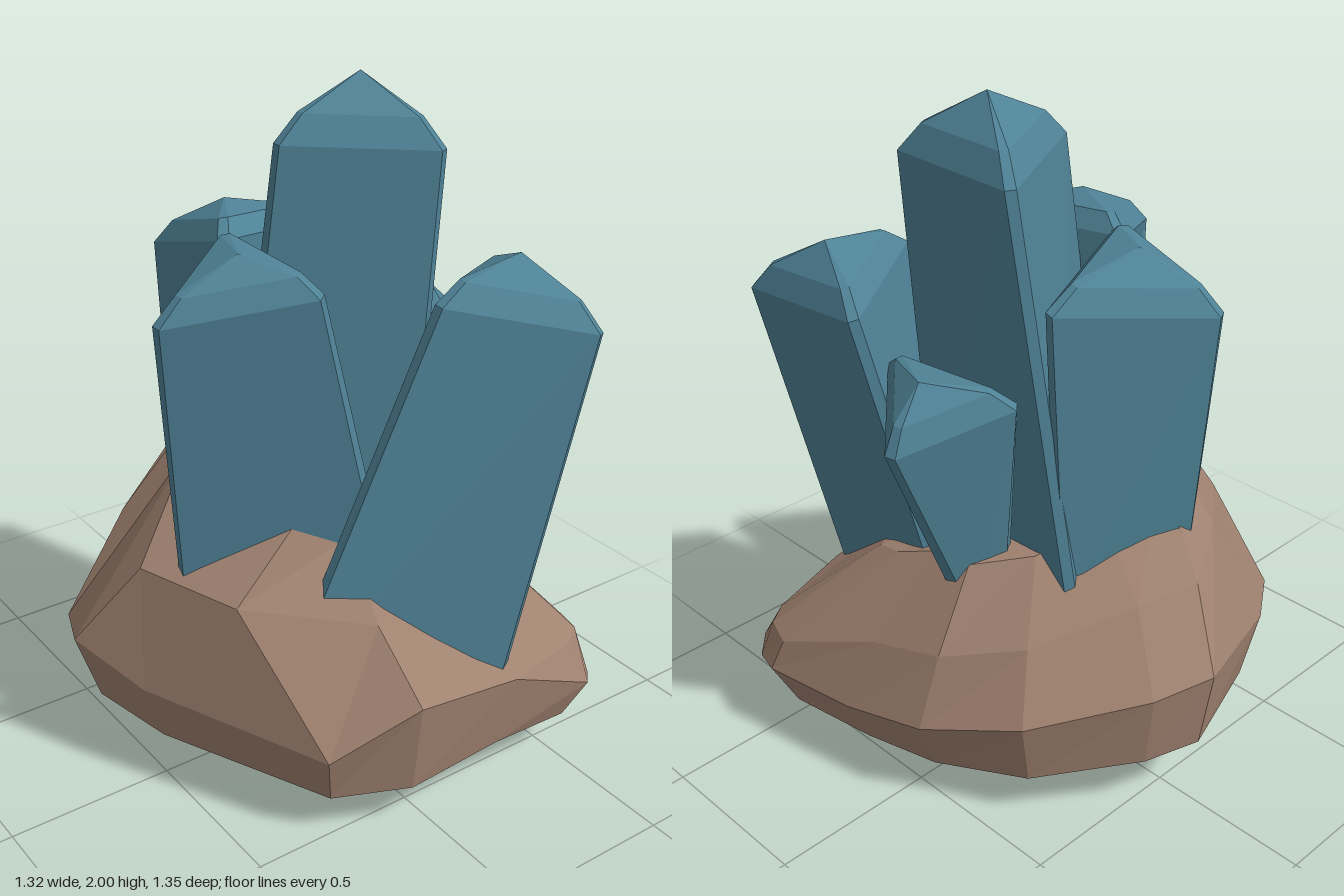
import * as THREE from 'three';

const V = (a) => new THREE.Vector3(...a);

// Skin a stack of rings (bottom to top, counter-clockwise from above) and close both ends
function loft(rings, bottom, top) {
  const pos = [];
  const tri = (...pts) => pts.forEach((p) => pos.push(p.x, p.y, p.z));
  const n = rings[0].length;
  for (let i = 0; i < n; i++) {
    const j = (i + 1) % n;
    tri(bottom, rings[0][j], rings[0][i]);
    for (let k = 0; k < rings.length - 1; k++) {
      const a = rings[k], b = rings[k + 1];
      tri(a[i], a[j], b[j]);
      tri(a[i], b[j], b[i]);
    }
    const last = rings[rings.length - 1];
    tri(last[i], last[j], top);
  }
  const g = new THREE.BufferGeometry();
  g.setAttribute('position', new THREE.Float32BufferAttribute(pos, 3));
  g.computeVertexNormals();
  return g;
}

// Three corners become six points, leaving a narrow bevel at each edge
function bevelRing(corners, width) {
  return corners.flatMap((p, i) => {
    const toward = (q) => p.clone().add(q.clone().sub(p).setLength(width));
    return [toward(corners[(i + 2) % 3]), toward(corners[(i + 1) % 3])];
  });
}

// Three-sided crystal: base, shoulder, rounded pyramid tip
function crystalGeometry({ apex, shoulder, base }) {
  const tip = V(apex), top = shoulder.map(V), foot = base.map(V);
  const mid = top.map((p) => p.clone().lerp(tip, 0.27).add(V([0, 0.03, 0])));
  const centre = foot[0].clone().add(foot[1]).add(foot[2]).divideScalar(3);
  return loft([bevelRing(foot, 0.035), bevelRing(top, 0.03), bevelRing(mid, 0.024)], centre, tip);
}

const crystals = {
  centreCrystal: {
    apex: [0.04, 2, -0.15],
    shoulder: [[0.285, 1.82, -0.27], [-0.19, 1.82, -0.285], [0.02, 1.84, 0.13]],
    base: [[0.3, 0.6, -0.17], [-0.34, 0.6, -0.2], [-0.02, 0.6, 0.28]],
  },
  rightSideCrystal: {
    apex: [-0.29, 1.61, 0.07],
    shoulder: [[-0.08, 1.57, 0.21], [-0.25, 1.5, -0.25], [-0.51, 1.44, 0.19]],
    base: [[-0.08, 0.6, 0.2], [-0.27, 0.6, -0.22], [-0.43, 0.6, 0.2]],
  },
  frontCrystal: {
    apex: [0.12, 1.61, 0.29],
    shoulder: [[0.32, 1.52, 0.14], [-0.14, 1.56, 0.18], [0.1, 1.45, 0.55]],
    base: [[0.37, 0.6, -0.06], [-0.12, 0.6, -0.14], [0.05, 0.6, 0.48]],
  },
  leftSideCrystal: {
    apex: [0.42, 1.56, -0.4],
    shoulder: [[0.67, 1.38, -0.5], [0.18, 1.42, -0.5], [0.43, 1.48, -0.09]],
    base: [[0.62, 0.3, -0.26], [0.02, 0.3, -0.29], [0.29, 0.3, 0.35]],
  },
  backCrystal: {
    apex: [-0.03, 1.32, -0.47],
    shoulder: [[0.25, 1.25, -0.34], [-0.06, 1.15, -0.62], [-0.2, 1.23, -0.25]],
    base: [[0.22, 0.5, -0.13], [-0.05, 0.5, -0.35], [-0.09, 0.5, -0.2]],
  },
};

// Rock columns: widest point, slope point, crown point, height of the lower edge
const rockColumns = [
  [0.65, 0.43, 0.07, 0.46, 0.6, 0.08, 0.3, 0.8, 0.05, 0.14],
  [0.64, 0.38, -0.28, 0.55, 0.45, -0.24, 0.3, 0.75, -0.15, 0.15],
  [0.63, 0.24, -0.58, 0.57, 0.36, -0.55, 0.32, 0.62, -0.33, 0.13],
  [0.57, 0.22, -0.64, 0.52, 0.36, -0.62, 0.28, 0.64, -0.38, 0.12],
  [0.46, 0.25, -0.68, 0.43, 0.35, -0.65, 0.18, 0.67, -0.4, 0.11],
  [0.16, 0.25, -0.63, 0.12, 0.46, -0.55, 0.05, 0.72, -0.37, 0.11],
  [-0.1, 0.29, -0.58, -0.1, 0.5, -0.5, -0.08, 0.73, -0.36, 0.13],
  [-0.37, 0.36, -0.44, -0.3, 0.55, -0.35, -0.2, 0.75, -0.22, 0.15],
  [-0.59, 0.42, -0.15, -0.46, 0.64, -0.08, -0.28, 0.82, -0.03, 0.18],
  [-0.66, 0.45, 0.02, -0.52, 0.66, 0.1, -0.29, 0.96, 0.2, 0.2],
  [-0.53, 0.4, 0.4, -0.43, 0.74, 0.27, -0.13, 1.17, 0.21, 0.19],
  [-0.4, 0.37, 0.59, -0.29, 0.74, 0.44, -0.12, 1.17, 0.22, 0.21],
  [-0.2, 0.42, 0.67, -0.13, 0.96, 0.31, -0.11, 1.16, 0.21, 0.21],
  [0.02, 0.33, 0.57, -0.04, 0.69, 0.53, 0.05, 0.76, 0.4, 0.15],
  [0.54, 0.28, 0.3, 0.25, 0.66, 0.4, 0.23, 0.84, 0.2, 0.13],
];

function rockGeometry() {
  const ring = (f) => rockColumns.map((c) => V(f(c)));
  // The underside dips toward the left side and rises toward the back
  const underside = ([x, , z, , , , , , , edge]) =>
    [x * 0.66, Math.max(0.02, edge * 0.33 - x * 0.05 + Math.max(0, -z) * 0.08), z * 0.62];
  return loft([
    ring(underside),
    ring((c) => [c[0] * 0.94, c[9], c[2] * 0.9]),
    ring((c) => c.slice(0, 3)),
    ring((c) => c.slice(3, 6)),
    ring((c) => c.slice(6, 9)),
  ], V([0.07, 0, 0.12]), V([0.02, 0.75, 0]));
}

export function createModel() {
  const group = new THREE.Group();
  const add = (name, geometry, color) => {
    const mesh = new THREE.Mesh(geometry, new THREE.MeshStandardMaterial({ color, flatShading: true }));
    mesh.name = name;
    group.add(mesh);
  };
  add('rock', rockGeometry(), 0xa08270);
  for (const [name, spec] of Object.entries(crystals)) add(name, crystalGeometry(spec), 0x4f8296);
  return group;
}
